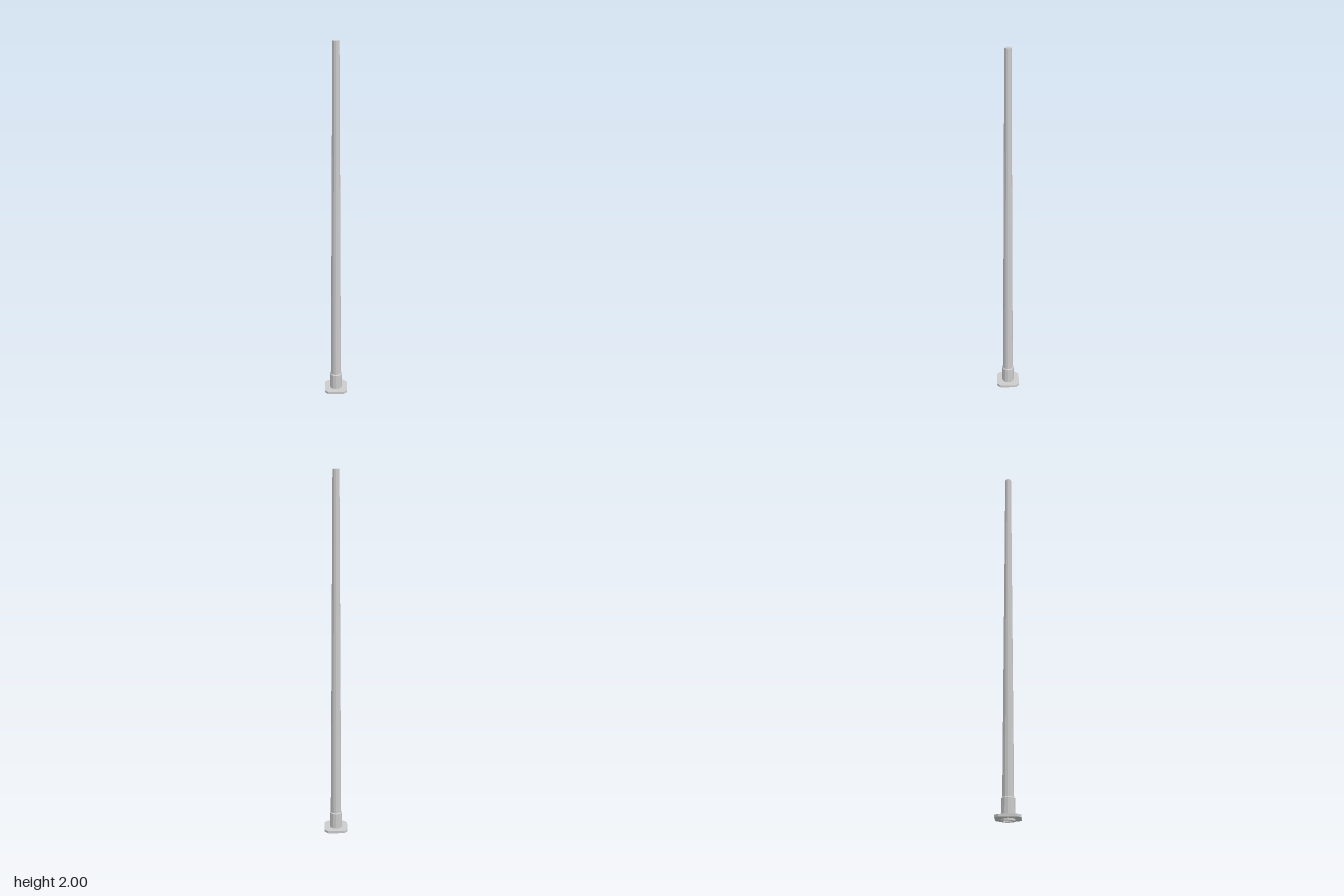
import * as THREE from 'three';

const SIDES = 12;

export function createModel() {
  const group = new THREE.Group();
  const material = new THREE.MeshStandardMaterial({ color: 0xcccccc, flatShading: true });

  const add = (name, geometry) => {
    const mesh = new THREE.Mesh(geometry, material);
    mesh.name = name;
    group.add(mesh);
    return mesh;
  };
  // Turned part from [radius, height] pairs, listed from bottom to top
  const turned = (points) =>
    new THREE.LatheGeometry(points.map(([r, y]) => new THREE.Vector2(r, y)), SIDES);

  // Long tapered pole with a flat cap
  add('pole', turned([[0.03, 0.1], [0.0185, 2], [0, 2]]));

  // Socket collar, slightly recessed underneath
  add('collar', turned([
    [0, 0.01], [0.027, 0.01], [0.027, 0], [0.035, 0], [0.035, 0.112], [0.03, 0.116],
  ]));

  // Square base plate with cut corners
  const half = 0.065, cut = 0.02, inner = half - cut;
  const outline = new THREE.Shape([
    [inner, -half], [half, -inner], [half, inner], [inner, half],
    [-inner, half], [-half, inner], [-half, -inner], [-inner, -half],
  ].map(([x, y]) => new THREE.Vector2(x, y)));
  const plate = new THREE.ExtrudeGeometry(outline, { depth: 0.013, bevelEnabled: false });
  plate.rotateX(-Math.PI / 2);
  add('basePlate', plate).position.y = 0.011;

  return group;
}
